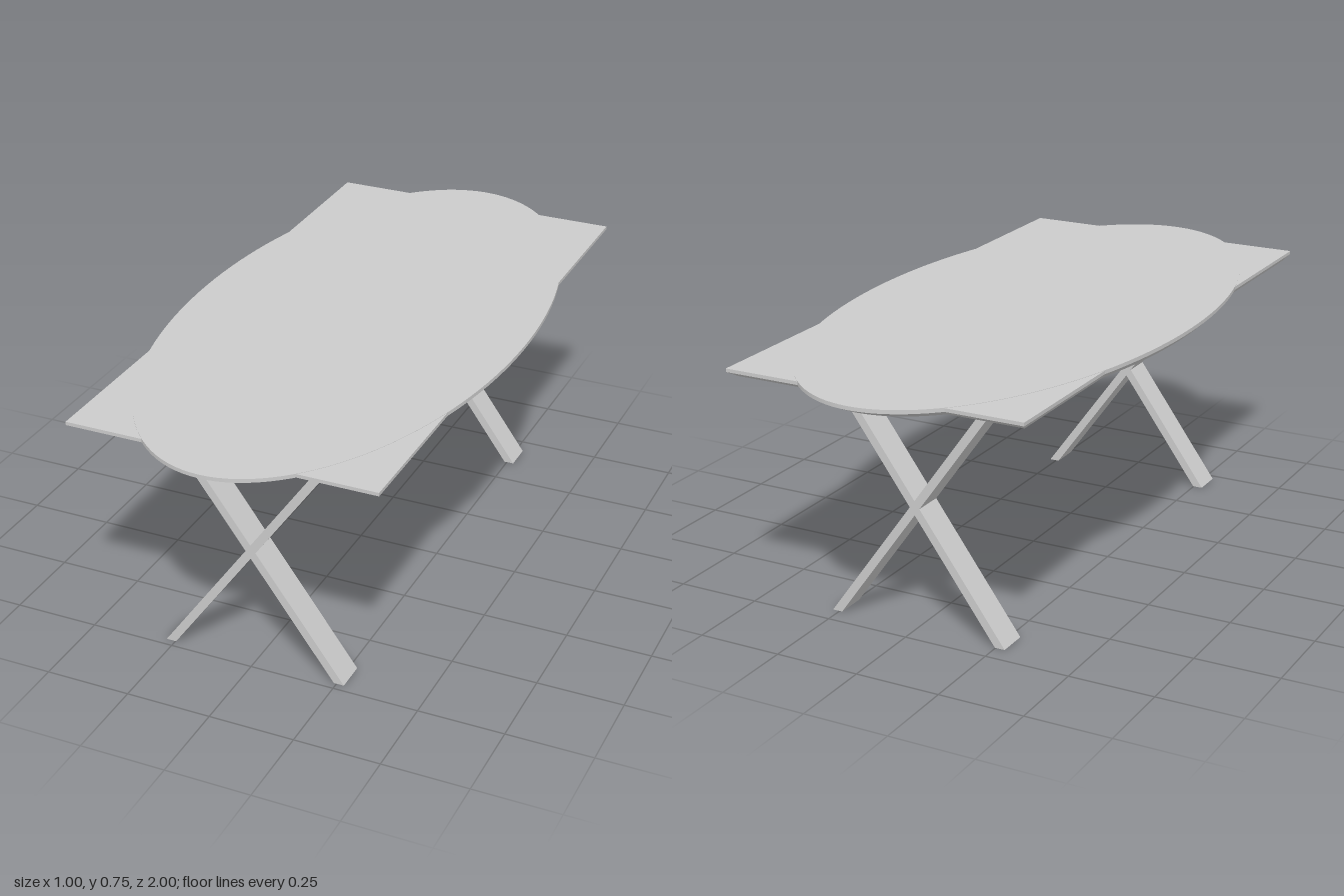
import * as THREE from 'three';
import { toCreasedNormals } from 'three/addons/utils/BufferGeometryUtils.js';

const material = new THREE.MeshStandardMaterial({ color: 0xcccccc });

function addMesh(parent, name, geometry) {
  const mesh = new THREE.Mesh(geometry, material);
  mesh.name = name;
  parent.add(mesh);
  return mesh;
}

// Slab with an upright rim and a bevelled underside, spun and then stretched in plan.
function slab(halfX, halfZ, bottom, top, inset, segments, start) {
  const profile = [
    [0, bottom], [1 - inset, bottom], [1, 0.739], [1, top], [0, top],
  ].map(([r, y]) => new THREE.Vector2(r, y));
  const geometry = new THREE.LatheGeometry(profile, segments, start);
  geometry.scale(halfX, 1, halfZ);
  return toCreasedNormals(geometry, 0.4);
}

// Slanted leg bar, cut flat at the floor and under the top.
function legBar(x0, x1, width, height, depth) {
  const shape = new THREE.Shape([
    new THREE.Vector2(x0, 0),
    new THREE.Vector2(x0 + width, 0),
    new THREE.Vector2(x1 + width, height),
    new THREE.Vector2(x1, height),
  ]);
  return new THREE.ExtrudeGeometry(shape, { depth, bevelEnabled: false });
}

export function createModel() {
  const table = new THREE.Group();
  table.name = 'table';

  // Oval top over a rectangular one whose corners stick out
  addMesh(table, 'ovalTop', slab(0.5, 1, 0.72, 0.75, 0.04, 128, 0));
  const s = Math.SQRT2;
  addMesh(table, 'rectangularTop', slab(0.448 * s, 0.897 * s, 0.721, 0.749, 0.035, 4, Math.PI / 4));

  // A crossed pair of legs near each end
  for (const [name, z] of [['frontLegs', 0.637], ['backLegs', -0.693]]) {
    const legs = new THREE.Group();
    legs.name = name;
    legs.position.z = z;
    addMesh(legs, 'risingLeg', legBar(-0.278, 0.242, 0.03, 0.722, 0.09));
    addMesh(legs, 'fallingLeg', legBar(0.242, -0.278, 0.03, 0.722, 0.09));
    table.add(legs);
  }
  return table;
}
